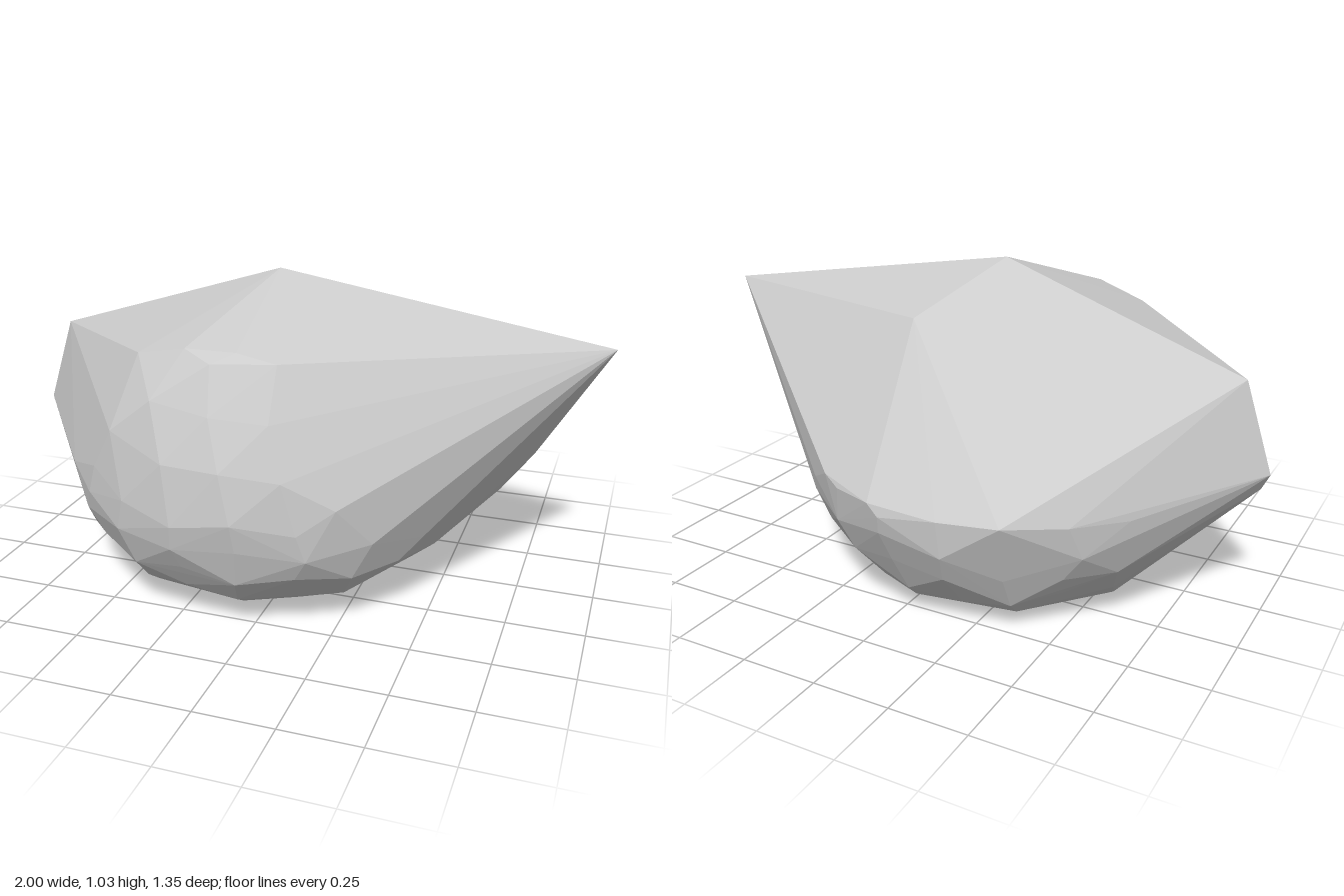
import * as THREE from 'three';
import { ConvexGeometry } from 'three/addons/geometries/ConvexGeometry.js';

export function createModel() {
  const group = new THREE.Group();
  group.name = 'faceted stone';
  const points = [];
  const add = (x, y, z) => points.push(new THREE.Vector3(x, y, z));

  // Rounded belly: [height, left x, right x, back z, front z, sides]
  const rings = [
    [0.40, -0.80, 0.58, -0.68, 0.68, 22],
    [0.31, -0.79, 0.57, -0.67, 0.67, 20],
    [0.21, -0.75, 0.53, -0.625, 0.63, 22],
    [0.12, -0.67, 0.42, -0.57, 0.56, 20],
    [0.07, -0.61, 0.35, -0.53, 0.49, 18],
    [0.03, -0.54, 0.26, -0.42, 0.38, 16],
    [0.005, -0.32, 0.08, -0.31, 0.02, 9],
  ];
  rings.forEach(([y, left, right, back, front, sides], ring) => {
    for (let i = 0; i < sides; i++) {
      const a = ((i + (ring % 2) / 2) / sides) * Math.PI * 2;
      // Slight regular unevenness gives the chipped facets
      const chip = 1 - 0.008 * (1 + Math.sin(i * 4.7 + ring * 2.3));
      const x = (left + right) / 2 + ((right - left) / 2) * Math.cos(a) * chip;
      const z = (back + front) / 2 + ((front - back) / 2) * Math.sin(a) * chip;
      const lift = y > 0.02 ? 0.018 * Math.sin(i * 2.9 + ring * 1.7) : 0;
      add(x, y + lift, z);
    }
  });

  // Crown and side tips
  add(-0.08, 1.04, 0.02);
  add(0.08, 0.89, -0.30);
  add(1.0, 0.86, 0.0);
  add(-0.91, 0.77, -0.04);
  add(-1.0, 0.48, -0.03);
  add(-0.97, 0.42, -0.01);

  // Keel under the right tip
  add(0.77, 0.47, -0.05);
  add(0.67, 0.34, -0.03);
  add(0.46, 0.15, -0.02);

  // Upper front shoulder
  [
    [-0.05, 0.89, 0.49], [-0.22, 0.885, 0.48], [-0.40, 0.84, 0.43],
    [0.08, 0.87, 0.50], [-0.12, 0.86, 0.53], [-0.30, 0.74, 0.57],
    [-0.10, 0.72, 0.60], [0.08, 0.71, 0.58], [-0.45, 0.62, 0.55],
    [-0.24, 0.57, 0.64], [-0.05, 0.57, 0.655], [0.13, 0.55, 0.62],
    [-0.53, 0.48, 0.52], [0.28, 0.46, 0.56],
  ].forEach((p) => add(...p));

  // Back rim where the large top facets end
  [[-0.40, 0.42, -0.64], [-0.23, 0.42, -0.66], [0.03, 0.42, -0.665], [0.24, 0.44, -0.58]]
    .forEach((p) => add(...p));

  const stone = new THREE.Mesh(
    new ConvexGeometry(points),
    new THREE.MeshStandardMaterial({ color: 0xcccccc, flatShading: true }),
  );
  stone.name = 'stone';
  group.add(stone);
  return group;
}
